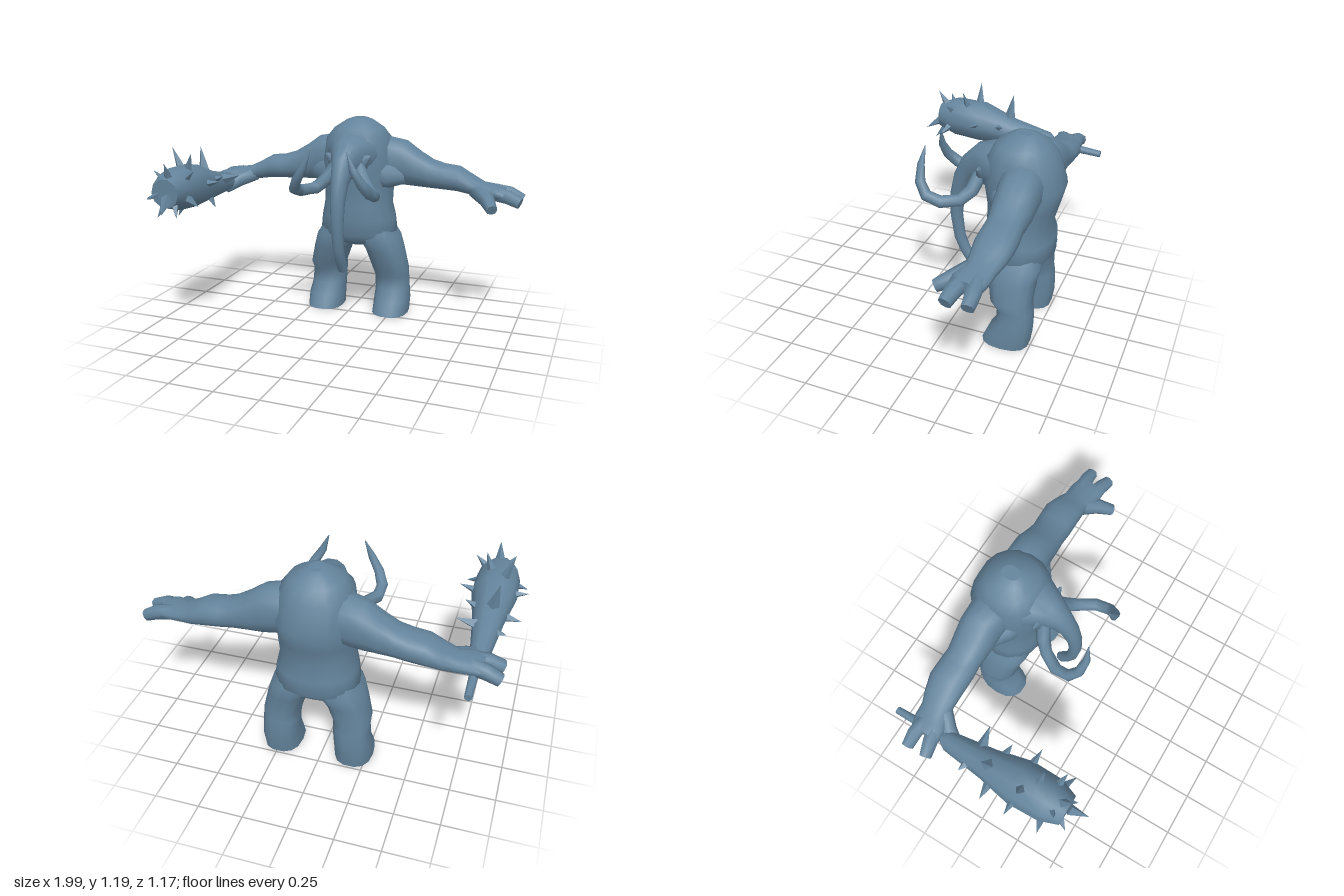
import * as THREE from 'three';

const MID = 0.033; // the body's mirror plane
const V = (x, y, z) => new THREE.Vector3(x, y, z);
const X = V(1, 0, 0), Y = V(0, 1, 0);

// Skin through elliptical rings [x, y, z, a, b]; a lies along ref, b across it.
// The rings face along fixedT, or along the path when it is not given.
function loft(rings, ref, fixedT, segs = 14, power = 0.9) {
  const pos = [], idx = [], n = rings.length;
  const c = rings.map(r => V(r[0], r[1], r[2]));
  const bend = t => Math.sign(t) * Math.pow(Math.abs(t), power);
  rings.forEach((r, i) => {
    const T = fixedT ? fixedT.clone() : c[Math.min(i + 1, n - 1)].clone().sub(c[Math.max(i - 1, 0)]).normalize();
    const v = T.clone().cross(ref).normalize();
    const u = v.clone().cross(T);
    for (let j = 0; j < segs; j++) {
      const t = j / segs * Math.PI * 2;
      const p = c[i].clone().addScaledVector(u, r[3] * bend(Math.cos(t))).addScaledVector(v, (r[4] ?? r[3]) * bend(Math.sin(t)));
      pos.push(p.x, p.y, p.z);
    }
  });
  for (let i = 0; i < n - 1; i++) for (let j = 0; j < segs; j++) {
    const k = (j + 1) % segs, a = i * segs, b = a + segs;
    idx.push(a + j, a + k, b + k, a + j, b + k, b + j);
  }
  // Flat caps with their own vertices
  for (const end of [0, n - 1]) {
    const base = pos.length / 3;
    for (let j = 0; j < segs * 3; j++) pos.push(pos[end * segs * 3 + j]);
    pos.push(c[end].x, c[end].y, c[end].z);
    for (let j = 0; j < segs; j++) {
      const k = (j + 1) % segs;
      idx.push(base + segs, base + (end ? j : k), base + (end ? k : j));
    }
  }
  const g = new THREE.BufferGeometry();
  g.setAttribute('position', new THREE.Float32BufferAttribute(pos, 3));
  g.setIndex(idx);
  g.computeVertexNormals();
  return g;
}

export function createModel() {
  const model = new THREE.Group();
  model.name = 'tuskedGiant';
  const hide = new THREE.MeshStandardMaterial({ color: 0x64849c });
  hide.name = 'blueGrey';
  const add = (name, geo, parent = model) => {
    const m = new THREE.Mesh(geo, hide);
    m.name = name;
    parent.add(m);
    return m;
  };

  // Torso: hips up to the hump
  add('torso', loft([
    [0.42, -0.36, 0.06, 0.07], [0.455, -0.355, 0.18, 0.15], [0.50, -0.36, 0.235, 0.185],
    [0.60, -0.354, 0.222, 0.193], [0.68, -0.345, 0.205, 0.177], [0.80, -0.36, 0.205, 0.195],
    [0.92, -0.365, 0.215, 0.22], [1.07, -0.345, 0.19, 0.19], [1.13, -0.345, 0.145, 0.14],
    [1.172, -0.35, 0.08, 0.085], [1.187, -0.35, 0.04, 0.05],
  ].map(([y, z, a, b]) => [MID, y, z, a, b]), X, Y, 18));

  // Head running down into the trunk
  add('headAndTrunk', loft([
    [0.98, -0.38, 0.19, 0.16], [0.985, -0.22, 0.16, 0.13], [0.965, -0.13, 0.1, 0.125],
    [0.93, -0.06, 0.065, 0.085], [0.86, -0.005, 0.05, 0.055], [0.75, 0.03, 0.042, 0.04],
    [0.62, 0.035, 0.036, 0.035], [0.48, 0.015, 0.032, 0.032], [0.40, -0.018, 0.03, 0.03],
    [0.338, -0.06, 0.028, 0.033],
  ].map(([y, z, a, b]) => [MID, y, z, a, b]), X));

  // Paired parts; s = 1 is the left side
  for (const s of [1, -1]) {
    const side = new THREE.Group();
    side.name = s > 0 ? 'leftSide' : 'rightSide';
    model.add(side);
    const place = rings => rings.map(([x, ...rest]) => [MID + s * x, ...rest]);

    add('leg', loft(place([
      [0.21, 0, -0.355, 0.107, 0.135], [0.212, 0.08, -0.377, 0.107, 0.124],
      [0.207, 0.15, -0.401, 0.102, 0.102], [0.202, 0.23, -0.4, 0.102, 0.1],
      [0.2, 0.28, -0.374, 0.105, 0.118], [0.165, 0.40, -0.365, 0.112, 0.135],
      [0.128, 0.48, -0.36, 0.124, 0.16], [0.1, 0.58, -0.355, 0.09, 0.13],
    ]), X, Y, 14, 0.8), side);

    add('arm', loft(place([
      [0.05, 0.93, -0.38, 0.13, 0.12], [0.17, 0.94, -0.39, 0.14, 0.12],
      [0.27, 0.925, -0.4, 0.135, 0.112], [0.35, 0.895, -0.4, 0.107, 0.106],
      [0.43, 0.87, -0.4, 0.085, 0.097], [0.5, 0.858, -0.402, 0.075, 0.102],
      [0.59, 0.85, -0.405, 0.072, 0.103], [0.67, 0.822, -0.4, 0.056, 0.092],
      [0.74, 0.8, -0.39, 0.043, 0.08], [0.81, 0.795, -0.375, 0.041, 0.092],
      [0.87, 0.785, -0.368, 0.035, 0.085],
    ]), Y, X.clone().multiplyScalar(s)), side);

    // Chest fold below the shoulder
    add('chestFold', loft(place([
      [0.1, 0.88, -0.28, 0.1, 0.075], [0.2, 0.86, -0.305, 0.075, 0.07], [0.29, 0.86, -0.34, 0.05, 0.04],
    ]), Y, X.clone().multiplyScalar(s), 10), side);

    // Two fingers and a thumb
    for (const [name, path] of [
      ['outerFinger', [[0.8, 0.795, -0.405, 0.042], [0.89, 0.782, -0.418, 0.04], [0.962, 0.75, -0.42, 0.033]]],
      ['innerFinger', [[0.8, 0.79, -0.345, 0.042], [0.89, 0.778, -0.322, 0.04], [0.962, 0.75, -0.308, 0.033]]],
      ['thumb', [[0.7, 0.8, -0.36, 0.045], [0.78, 0.765, -0.28, 0.042], [0.825, 0.725, -0.2, 0.03]]],
    ]) add(name, loft(place(path), Y, null, 8, 0.8), side);

    add('tusk', loft(place([
      [0.06, 0.94, -0.13, 0.04], [0.115, 0.855, -0.1, 0.038], [0.165, 0.808, -0.05, 0.035],
      [0.218, 0.808, 0.04, 0.034], [0.222, 0.833, 0.12, 0.032], [0.19, 0.89, 0.168, 0.028],
      [0.142, 0.97, 0.183, 0.021], [0.105, 1.065, 0.172, 0.003],
    ]), X, null, 8), side);

    add('ear', loft(place([
      [0.05, 0.95, -0.15, 0.05, 0.035], [0.1, 0.97, -0.14, 0.035, 0.022], [0.135, 0.995, -0.14, 0.006, 0.006],
    ]), Y, null, 8), side);
  }

  // Club held in the right hand
  const club = new THREE.Group();
  club.name = 'club';
  model.add(club);
  add('clubShaft', loft([
    [-0.795, 0.735, -0.58, 0.02], [-0.795, 0.755, -0.3, 0.026], [-0.8, 0.765, -0.24, 0.055],
    [-0.8, 0.79, 0, 0.085], [-0.8, 0.825, 0.2, 0.125], [-0.8, 0.835, 0.38, 0.12], [-0.8, 0.83, 0.48, 0.083],
  ], X, null, 10, 1), club);

  // Spikes: tip x, y, z and the place along the club they grow from
  for (const [x, y, z, root] of [
    [-0.885, 1.05, 0.245, 0.23], [-0.725, 1.03, 0.31, 0.27], [-0.84, 1.02, 0.01, 0.03], [-0.78, 1.0, 0.5, 0.4],
    [-0.91, 0.8, -0.11, -0.08], [-0.975, 0.78, 0.06, 0.06], [-0.985, 0.86, 0.22, 0.22], [-0.97, 0.775, 0.4, 0.36],
    [-0.89, 0.8, 0.52, 0.4], [-0.635, 0.84, -0.085, -0.06], [-0.66, 0.86, 0.07, 0.05], [-0.605, 0.86, 0.215, 0.2],
    [-0.62, 0.76, 0.43, 0.36], [-0.66, 0.95, 0.4, 0.36], [-0.88, 0.64, 0.225, 0.2], [-0.715, 0.67, 0.08, 0.06],
    [-0.86, 0.69, 0.47, 0.38], [-0.72, 0.7, 0.5, 0.39], [-0.76, 0.735, 0.585, 0.42], [-0.88, 0.95, 0.45, 0.38],
  ]) {
    const tip = V(x, y, z), dir = tip.clone().sub(V(-0.8, 0.8 + root * 0.1, root));
    const length = dir.length() * 0.65;
    dir.normalize();
    const cone = new THREE.ConeGeometry(0.034, length, 4).toNonIndexed();
    cone.computeVertexNormals();
    const m = add('spike', cone, club);
    m.position.copy(tip).addScaledVector(dir, -length / 2);
    m.quaternion.setFromUnitVectors(Y, dir);
  }

  return model;
}
